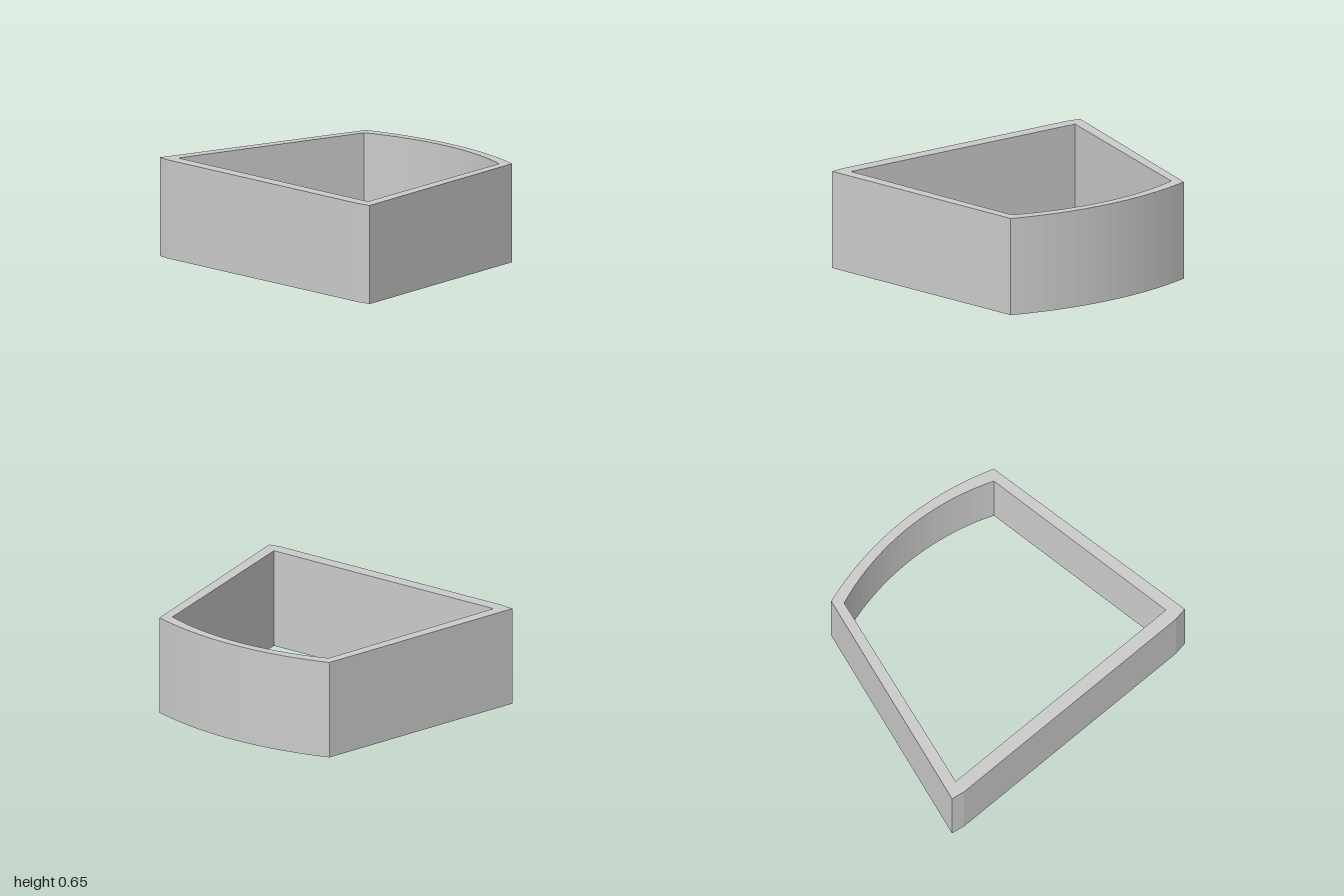
import * as THREE from 'three';

const HEIGHT = 0.655;
const ARC_STEPS = 18;

// Points of a shallow arc bulging to +x, from -halfChord to +halfChord
function bow(endX, midX, halfChord) {
  const rise = midX - endX;
  const radius = (halfChord * halfChord + rise * rise) / (2 * rise);
  const half = Math.asin(halfChord / radius);
  return Array.from({ length: ARC_STEPS + 1 }, (_, i) => {
    const a = -half + (2 * half * i) / ARC_STEPS;
    return new THREE.Vector2(midX - radius + radius * Math.cos(a), radius * Math.sin(a));
  });
}

const v = (x, y) => new THREE.Vector2(x, y);

export function createModel() {
  const group = new THREE.Group();
  group.name = 'curvedFrame';

  // Outer outline: bowed narrow end, tapered sides, clipped wide-end corners
  const outline = new THREE.Shape([
    ...bow(0.72, 0.836, 0.698),
    v(-0.825, 1), v(-0.84, 0.91), v(-0.84, -0.91), v(-0.825, -1),
  ]);

  // Inner opening, with a thicker wall at the wide end
  outline.holes.push(new THREE.Path([
    ...bow(0.655, 0.775, 0.643),
    v(-0.75, 0.903), v(-0.75, -0.903),
  ].reverse()));

  // Upright wall ring, open at top and bottom
  const geometry = new THREE.ExtrudeGeometry(outline, { depth: HEIGHT, bevelEnabled: false });
  geometry.rotateX(-Math.PI / 2);
  const wall = new THREE.Mesh(geometry, new THREE.MeshStandardMaterial({ color: 0xcccccc }));
  wall.name = 'wallRing';
  group.add(wall);
  return group;
}
